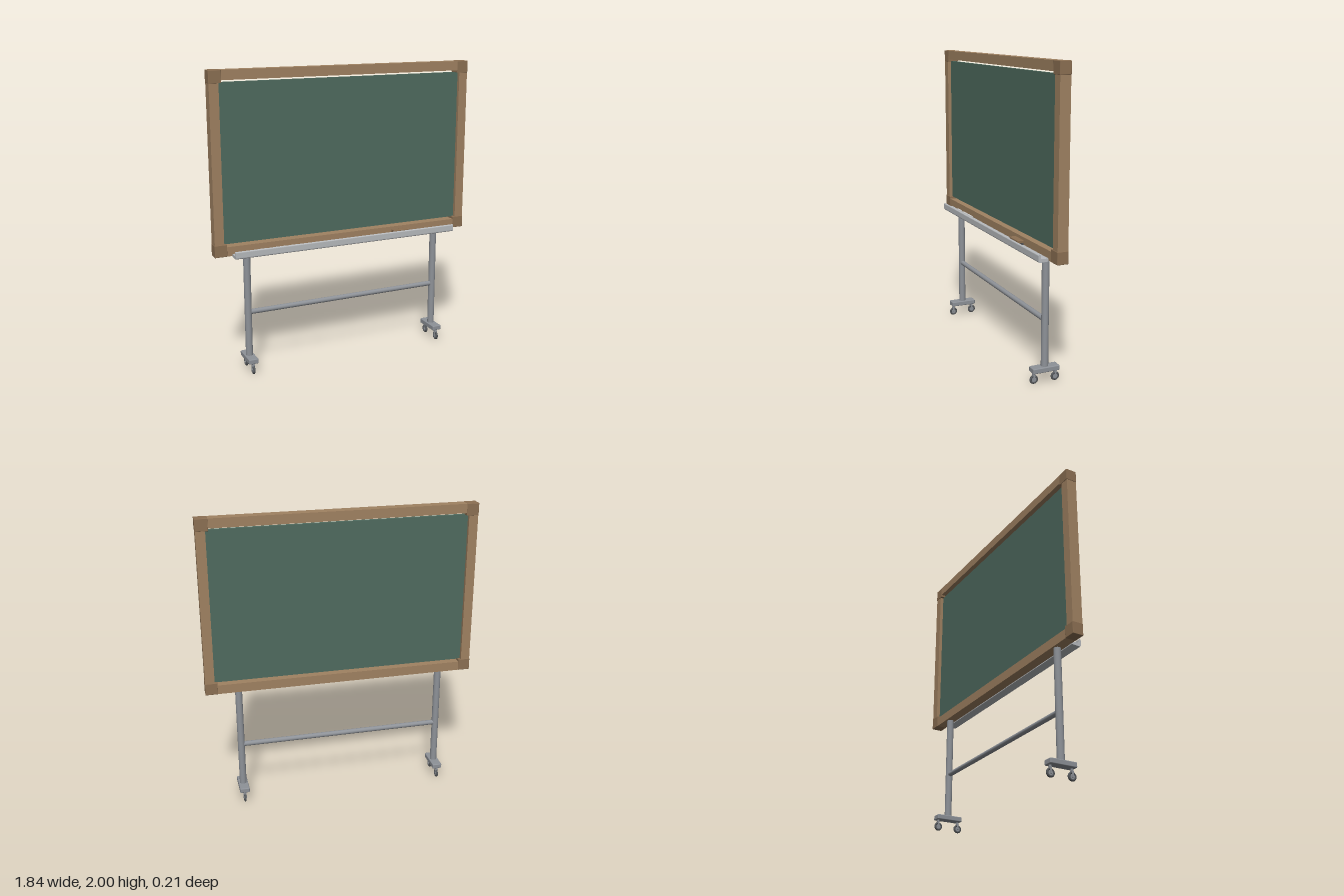
import * as THREE from 'three';
import { RoundedBoxGeometry } from 'three/addons/geometries/RoundedBoxGeometry.js';

const mat = (color) => new THREE.MeshStandardMaterial({ color });
const wood = mat(0xa08262), darkWood = mat(0x8c7053), slate = mat(0x4f6b5f);
const steel = mat(0x8e9298), alloy = mat(0xb8bbbe), rubber = mat(0x55585b), chalkWhite = mat(0xd8dad8);

export function createModel() {
  const model = new THREE.Group();

  const add = (name, geometry, material, x, y, z, parent = model) => {
    const mesh = new THREE.Mesh(geometry, material);
    mesh.name = name;
    mesh.position.set(x, y, z);
    parent.add(mesh);
    return mesh;
  };
  const box = (w, h, d) => new THREE.BoxGeometry(w, h, d);
  // Cylinder lying along x
  const rod = (r, length, sides = 24) => new THREE.CylinderGeometry(r, r, length, sides).rotateZ(Math.PI / 2);

  // Writing board, with a narrow slot above and below it
  add('board', box(1.72, 1.026, 0.024), slate, 0, 1.41, 0);

  // Wooden frame: rails, stiles and corner blocks
  for (const [name, y] of [['topRail', 1.968], ['bottomRail', 0.852]]) {
    add(name, box(1.68, 0.062, 0.07), wood, 0, y, 0);
  }
  for (const side of [-1, 1]) {
    add('stile', box(0.062, 1.03, 0.07), wood, side * 0.888, 1.41, 0);
    for (const y of [1.96, 0.86]) {
      add('cornerBlock', new RoundedBoxGeometry(0.082, 0.08, 0.074, 2, 0.003), darkWood, side * 0.88, y, 0);
    }
  }

  // Chalk tray: open channel with a rounded front lip, section drawn in (z, y)
  const section = new THREE.Shape();
  section.moveTo(0.034, 0.815);
  section.lineTo(0.09, 0.812);
  section.quadraticCurveTo(0.101, 0.812, 0.101, 0.824);
  section.lineTo(0.101, 0.853);
  section.absarc(0.093, 0.854, 0.008, 0, Math.PI, false);
  section.lineTo(0.085, 0.842);
  section.quadraticCurveTo(0.085, 0.834, 0.078, 0.834);
  section.lineTo(0.034, 0.834);
  const trayLength = 1.61;
  const trayGeometry = new THREE.ExtrudeGeometry(section, { depth: trayLength, bevelEnabled: false, curveSegments: 8 });
  trayGeometry.translate(0, 0, -trayLength / 2).rotateY(-Math.PI / 2);
  trayGeometry.scale(1, 1, 1);
  add('chalkTray', trayGeometry, alloy, 0, 0, 0);

  // Chalk sticks and eraser resting in the tray
  for (const x of [-0.605, -0.488, -0.392]) add('chalk', rod(0.008, 0.068, 16), chalkWhite, x, 0.842, 0.052);
  add('eraserFelt', box(0.12, 0.014, 0.04), rubber, 0.405, 0.841, 0.057);
  add('eraserGrip', new RoundedBoxGeometry(0.124, 0.02, 0.044, 2, 0.004), darkWood, 0.405, 0.856, 0.058);

  // Cross bar between the legs
  add('crossBar', rod(0.017, 1.37), steel, 0, 0.411, 0);

  // Legs, feet and casters
  for (const side of [-1, 1]) {
    const stand = new THREE.Group();
    stand.name = 'stand';
    stand.position.x = side * 0.7;
    model.add(stand);
    add('leg', new THREE.CylinderGeometry(0.0235, 0.0235, 0.73, 28), steel, 0, 0.465, 0, stand);
    add('foot', new RoundedBoxGeometry(0.066, 0.034, 0.184, 2, 0.006), steel, 0, 0.092, 0, stand);
    for (const end of [-1, 1]) {
      const caster = new THREE.Group();
      caster.name = 'caster';
      caster.position.set(0, 0.029, end * 0.074);
      stand.add(caster);
      add('tyre', new THREE.TorusGeometry(0.0215, 0.0075, 12, 28).rotateY(Math.PI / 2), rubber, 0, 0, 0, caster);
      add('wheelDisc', rod(0.021, 0.009), steel, 0, 0, 0, caster);
      add('axle', rod(0.006, 0.021, 16), steel, 0, 0, 0, caster);
      add('casterStem', new THREE.CylinderGeometry(0.008, 0.008, 0.022, 16), steel, 0, 0.038, 0, caster);
      for (const x of [-0.009, 0.009]) add('forkArm', box(0.003, 0.04, 0.012), steel, x, 0.014, 0, caster);
      add('forkTop', box(0.021, 0.004, 0.014), steel, 0, 0.033, 0, caster);
    }
  }
  return model;
}
